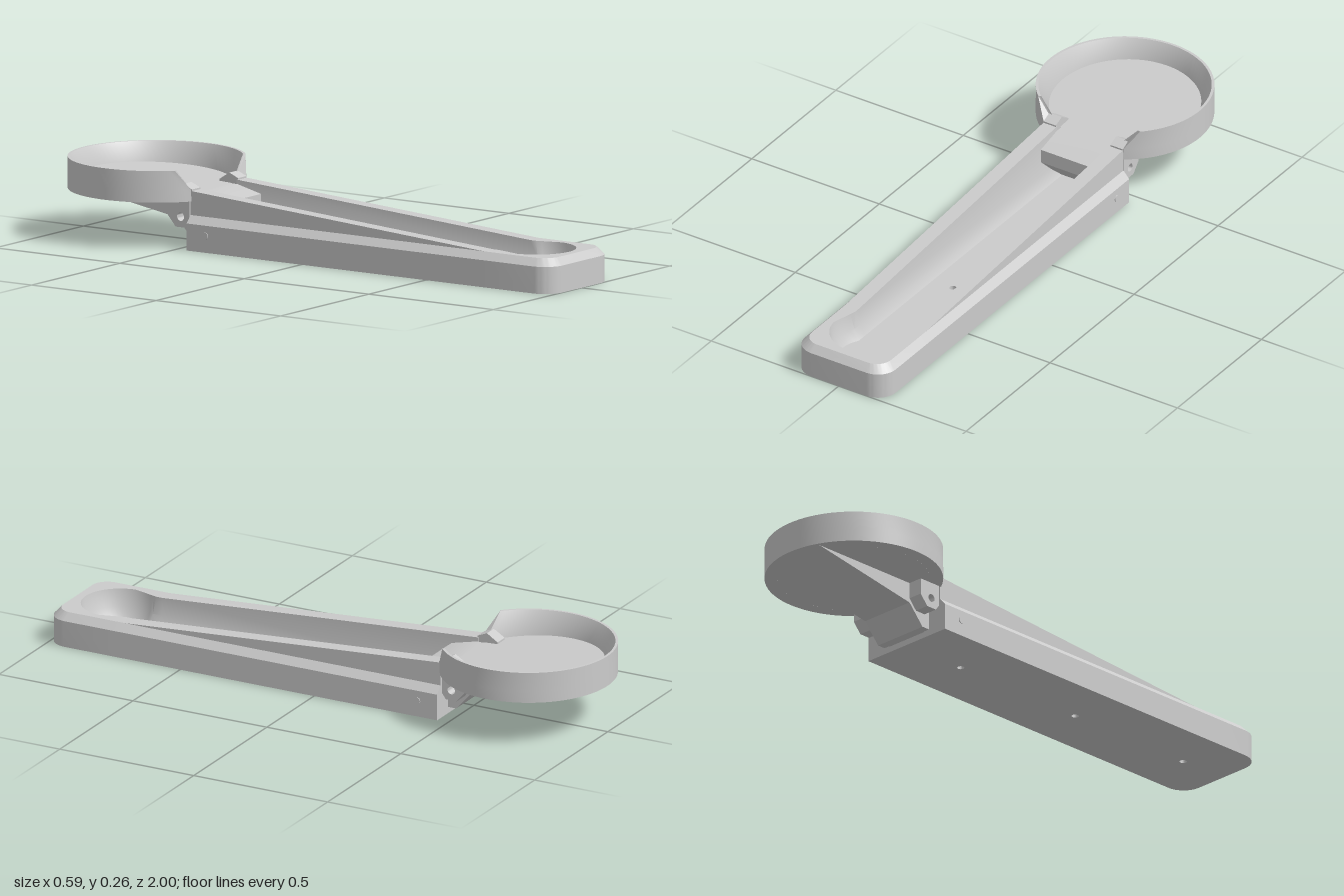
import * as THREE from 'three';
import { toCreasedNormals, mergeGeometries } from 'three/addons/utils/BufferGeometryUtils.js';

const material = new THREE.MeshStandardMaterial({ color: 0xcccccc, side: THREE.DoubleSide });
const BACK = -0.46, POCKET_Z = 0.82, DISH_Z = -0.705, ARC = 32;

function addMesh(parent, name, geometry) {
  const mesh = new THREE.Mesh(toCreasedNormals(geometry, 0.6), material);
  mesh.name = name;
  parent.add(mesh);
  return mesh;
}

// Skin between successive rings of [x, y, z] points
function loft(rings, closed = false) {
  const pos = [], index = [], n = rings[0].length;
  rings.forEach(r => r.forEach(p => pos.push(...p)));
  const last = closed ? rings.length : rings.length - 1;
  for (let j = 0; j < last; j++) {
    const k = (j + 1) % rings.length;
    for (let i = 0; i < n - 1; i++) {
      const a = j * n + i, d = k * n + i;
      index.push(a, d, d + 1, a, d + 1, a + 1);
    }
  }
  const g = new THREE.BufferGeometry();
  g.setAttribute('position', new THREE.Float32BufferAttribute(pos, 3));
  g.setIndex(index);
  return g;
}

// Wall top: level at the front, rising towards the back
const topHeight = z => 0.115 + 0.08 * Math.max(0, (0.72 - z) / (0.72 - BACK));

// U-shaped outline starting at the back on +x and running round the front
function uRing(w, frontPoints, height) {
  const side = [[w, BACK], [w, 0.72]];
  const pts = [...side, ...frontPoints, ...side.map(([x, z]) => [-x, z]).reverse()];
  return pts.map(([x, z]) => [x, typeof height === 'function' ? height(z) : height, z]);
}

function outerRing(w, front, rad, height) {
  const pts = [];
  for (const s of [1, -1]) {
    for (let i = 0; i < ARC / 2; i++) {
      const t = i / (ARC / 2 - 1) * Math.PI / 2, a = s > 0 ? t : Math.PI / 2 - t;
      pts.push([s * (w - rad + rad * Math.cos(a)), front - rad + rad * Math.sin(a)]);
    }
  }
  return uRing(w, pts, height);
}

function innerRing(w, r, height) {
  const pts = [], a0 = Math.acos(w / r);
  for (let i = 0; i < ARC; i++) {
    const a = -a0 + (Math.PI + 2 * a0) * i / (ARC - 1);
    pts.push([r * Math.cos(a), POCKET_Z + r * Math.sin(a)]);
  }
  return uRing(w, pts, height);
}

// Flat horizontal panel with the three drain holes
function panel(ring, y, up) {
  const shape = new THREE.Shape(ring.map(p => new THREE.Vector2(p[0], p[2])));
  for (const z of [-0.21, 0.32, POCKET_Z]) {
    shape.holes.push(new THREE.Path().absarc(0, z, 0.012, 0, Math.PI * 2, true));
  }
  const g = new THREE.ShapeGeometry(shape, 8).rotateX(Math.PI / 2).translate(0, y, 0);
  if (up) {
    const ix = g.index.array;
    for (let i = 0; i < ix.length; i += 3) [ix[i], ix[i + 1]] = [ix[i + 1], ix[i]];
  }
  return g;
}

// Side profile of [z, y] points extruded across x from x0 to x1
function sideExtrude(points, x0, x1, hole) {
  const shape = new THREE.Shape(points.map(p => new THREE.Vector2(...p)));
  if (hole) shape.holes.push(new THREE.Path().absarc(...hole, 0, Math.PI * 2, true));
  return new THREE.ExtrudeGeometry(shape, { depth: x1 - x0, bevelEnabled: false, curveSegments: 12 })
    .rotateY(-Math.PI / 2).translate(x1, 0, 0);
}

function buildTrough() {
  const group = new THREE.Group();
  group.name = 'trough';
  const rings = [
    outerRing(0.178, 1, 0.07, 0),
    outerRing(0.178, 1, 0.07, 0.09),
    outerRing(0.155, 0.978, 0.055, 0.115),
    outerRing(0.155, 0.978, 0.055, topHeight),
    innerRing(0.105, 0.13, topHeight),
    innerRing(0.1, 0.12, 0.055),
    innerRing(0.08, 0.1, 0.02)
  ];
  addMesh(group, 'troughWalls', loft(rings));
  addMesh(group, 'troughBottom', panel(rings[0], 0, false));
  addMesh(group, 'troughFloor', panel(rings[6], 0.02, true));

  // Closed end of the wall section at the back
  const half = rings.map(r => new THREE.Vector2(r[0][0], r[0][1]));
  const section = [...half, ...half.map(p => new THREE.Vector2(-p.x, p.y)).reverse()];
  addMesh(group, 'troughBackEnd',
    new THREE.ShapeGeometry(new THREE.Shape(section)).rotateY(Math.PI).translate(0, 0, BACK));

  for (const z of [-0.21, 0.32, POCKET_Z]) {
    addMesh(group, 'drainHole',
      new THREE.CylinderGeometry(0.012, 0.012, 0.02, 16, 1, true).translate(0, 0.01, z));
  }
  // Small stop pins near the hinge
  for (const s of [1, -1]) {
    addMesh(group, 'stopPin',
      new THREE.CylinderGeometry(0.012, 0.012, 0.01, 16).rotateZ(Math.PI / 2).translate(s * 0.176, 0.055, -0.385));
  }
  return group;
}

// Dish floor rises gently away from the spout
const dishFloor = z => 0.18 + 0.025 * (-0.455 - z) / 0.5;

function buildDish() {
  const group = new THREE.Group();
  group.name = 'dish';
  // Wall profile [radius, height, half width of the spout notch]
  const profile = [
    [0.293, 0.16, 0.155], [0.293, 0.2, 0.157], [0.293, 0.265, 0.2],
    [0.284, 0.265, 0.19], [0.25, null, 0.11], [0.25, 0.16, 0.11]
  ];
  const n = 72;
  const rings = profile.map(([r, y, cut]) => {
    const a = Math.asin(cut / r), ring = [];
    for (let i = 0; i <= n; i++) {
      const phi = 2 * Math.PI - a - (2 * Math.PI - 2 * a) * i / n;
      const z = DISH_Z + r * Math.cos(phi);
      ring.push([r * Math.sin(phi), y ?? dishFloor(z), z]);
    }
    return ring;
  });
  addMesh(group, 'dishWall', loft(rings, true));

  // Ends of the wall on both sides of the spout
  const pos = [];
  for (const [i, flip] of [[0, false], [n, true]]) {
    const p = rings.map(r => r[i]), hub = p[5];
    for (let j = 0; j < 4; j++) pos.push(...hub, ...(flip ? p[j + 1] : p[j]), ...(flip ? p[j] : p[j + 1]));
  }
  const ends = new THREE.BufferGeometry();
  ends.setAttribute('position', new THREE.Float32BufferAttribute(pos, 3));
  addMesh(group, 'wallEnds', ends);

  // Solid floor plate with a tilted top
  const plate = new THREE.CylinderGeometry(0.25, 0.25, 0.04, 72).translate(0, 0.18, DISH_Z);
  const v = plate.attributes.position;
  for (let i = 0; i < v.count; i++) {
    if (v.getY(i) > 0.18) v.setY(i, dishFloor(v.getZ(i)));
  }
  addMesh(group, 'dishFloor', plate);
  return group;
}

function buildHinge() {
  const group = new THREE.Group();
  group.name = 'hingeArm';
  // Spout ramp, tongue and the tapering beam below the dish
  addMesh(group, 'spoutArm', sideExtrude([
    [-0.36, 0.158], [-0.455, 0.181], [-0.52, 0.181], [-0.98, 0.162],
    [-0.55, 0.09], [-0.49, 0.022], [-0.45, 0.022], [-0.36, 0.11]
  ], -0.103, 0.103));
  // Pivot ears with pin holes, mirrored
  const ear = [[-0.465, 0.17], [-0.55, 0.17], [-0.55, 0.105], [-0.52, 0.07], [-0.48, 0.07], [-0.465, 0.09]];
  for (const [x0, x1] of [[0.1, 0.155], [-0.155, -0.1]]) {
    addMesh(group, 'pivotEar', sideExtrude(ear, x0, x1, [-0.5, 0.105, 0.014]));
  }
  // Low cheeks guiding the flow through the spout
  const cheek = [[-0.455, 0.16], [-0.455, 0.2], [-0.49, 0.215], [-0.53, 0.19], [-0.53, 0.16]];
  addMesh(group, 'spoutCheeks', mergeGeometries([
    sideExtrude(cheek, 0.107, 0.155), sideExtrude(cheek, -0.155, -0.107)
  ]));
  return group;
}

export function createModel() {
  const model = new THREE.Group();
  model.name = 'foldingScoop';
  model.add(buildTrough(), buildDish(), buildHinge());
  return model;
}
